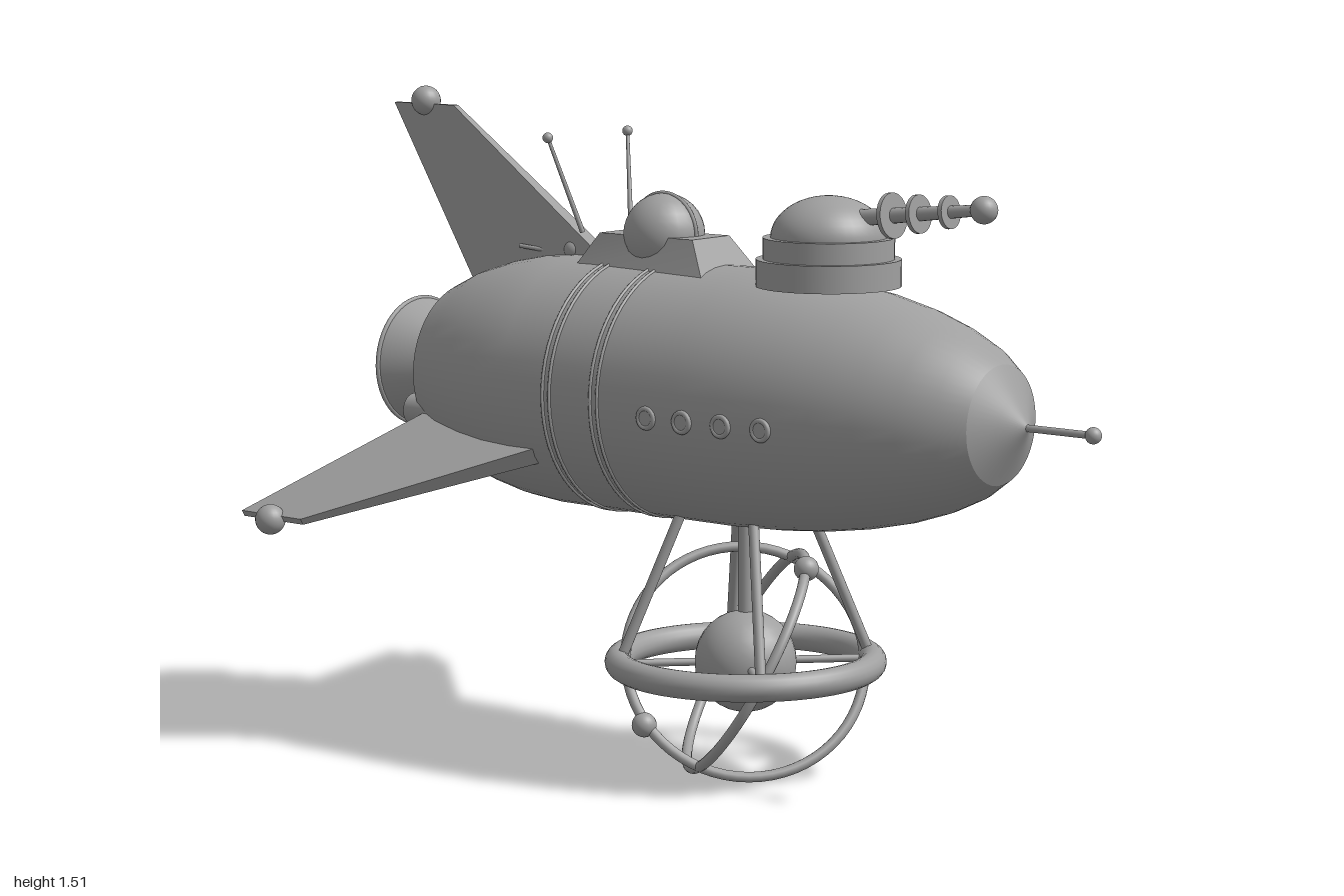
import * as THREE from 'three';

const V = (x, y, z) => new THREE.Vector3(x, y, z);

export function createModel() {
  const model = new THREE.Group();
  const grey = new THREE.MeshStandardMaterial({ color: 0xa0a0a0 });
  grey.name = 'grey metal';
  const greyOpen = new THREE.MeshStandardMaterial({ color: 0xa0a0a0, side: THREE.DoubleSide });
  greyOpen.name = 'grey metal';

  const add = (name, geometry, x = 0, y = 0, z = 0, material = grey) => {
    const mesh = new THREE.Mesh(geometry, material);
    mesh.name = name;
    mesh.position.set(x, y, z);
    model.add(mesh);
    return mesh;
  };
  const ball = (name, p, r) => add(name, new THREE.SphereGeometry(r, 24, 16), p.x, p.y, p.z);
  // Cylinder between two points
  const rod = (name, a, b, r0, r1 = r0) => {
    const d = b.clone().sub(a);
    const mesh = add(name, new THREE.CylinderGeometry(r1, r0, d.length(), 16));
    mesh.position.copy(a).addScaledVector(d, 0.5);
    mesh.quaternion.setFromUnitVectors(V(0, 1, 0), d.normalize());
    return mesh;
  };
  // Turned shape along z, from [radius, z] pairs going forward
  const turned = (name, profile, y, x = 0, material = grey) =>
    add(name, new THREE.LatheGeometry(profile.map(p => new THREE.Vector2(...p)), 48).rotateX(Math.PI / 2), x, y, 0, material);

  const axisY = 0.865;

  // Hull
  turned('hull', [[0.2, -0.77], [0.237, -0.69], [0.264, -0.6], [0.282, -0.51], [0.29, -0.42], [0.291, -0.2],
    [0.291, 0.08], [0.286, 0.2], [0.275, 0.32], [0.258, 0.43], [0.235, 0.53], [0.205, 0.62], [0.17, 0.695], [0.13, 0.75]], axisY);
  turned('noseCone', [[0.13, 0.75], [0.065, 0.785], [0, 0.822]], axisY);
  turned('hullBack', [[0, -0.77], [0.2, -0.77]], axisY, 0, greyOpen);
  rod('noseProbe', V(0, axisY, 0.79), V(0, axisY, 0.98), 0.008);
  ball('noseProbeTip', V(0, axisY, 0.982), 0.018);
  for (const z of [-0.13, -0.15, -0.27, -0.29])
    add('hullBand', new THREE.TorusGeometry(0.291, 0.004, 8, 64), 0, axisY, z);

  // Portholes
  for (const side of [-1, 1])
    for (const z of [0.315, 0.213, 0.11, 0.01]) {
      const x = side * (z > 0.3 ? 0.275 : z > 0.2 ? 0.284 : 0.29);
      add('portholeFrame', new THREE.TorusGeometry(0.021, 0.006, 10, 24).rotateY(Math.PI / 2), x, 0.845, z);
      add('portholeGlass', new THREE.CylinderGeometry(0.02, 0.02, 0.008, 24).rotateZ(Math.PI / 2), x, 0.845, z);
    }

  // Engine nozzle and small thrusters
  turned('nozzle', [[0.152, -0.93], [0.122, -0.86], [0.098, -0.81], [0.084, -0.76]], axisY, 0, greyOpen);
  add('nozzleRim', new THREE.TorusGeometry(0.15, 0.006, 10, 48), 0, axisY, -0.93);
  turned('nozzleInside', [[0, -0.915], [0.144, -0.915]], axisY, 0, greyOpen);
  for (const side of [-1, 1])
    add('thruster', new THREE.CylinderGeometry(0.038, 0.047, 0.12, 24).rotateX(-Math.PI / 2), side * 0.155, 0.775, -0.75);

  // Three fins, thinning toward the tip
  const finShape = new THREE.Shape([[-0.22, 0.2], [-0.81, 0.615], [-1, 0.615], [-0.7, 0.15]].map(p => new THREE.Vector2(...p)));
  for (let i = 0; i < 3; i++) {
    const g = new THREE.ExtrudeGeometry(finShape, { depth: 2, bevelEnabled: false });
    const pos = g.attributes.position;
    for (let k = 0; k < pos.count; k++) {
      const z = pos.getX(k), r = pos.getY(k), s = pos.getZ(k) - 1;
      pos.setXYZ(k, -s * (r > 0.5 ? 0.008 : 0.024), r, z);
    }
    g.computeVertexNormals();
    const fin = add('fin', g, 0, axisY, 0);
    fin.rotation.z = i * Math.PI * 2 / 3;
    ball('finTip', V(0, 0.622, -0.905).applyAxisAngle(V(0, 0, 1), fin.rotation.z).add(V(0, axisY, 0)), 0.035);
  }

  // Turret and ringed gun
  add('turretBase', new THREE.CylinderGeometry(0.16, 0.16, 0.06, 40), 0, 1.16, 0.29);
  add('turretCollar', new THREE.CylinderGeometry(0.145, 0.145, 0.05, 40), 0, 1.212, 0.29);
  add('turretDome', new THREE.SphereGeometry(0.128, 40, 12, 0, Math.PI * 2, 0, Math.PI / 2).scale(1, 0.72, 1), 0, 1.236, 0.29);
  const gunA = V(0, 1.283, 0.36), gunB = V(0, 1.32, 0.7);
  const gun = rod('gunBarrel', gunA, gunB, 0.019, 0.012);
  ball('gunTip', gunB, 0.03);
  [[0.46, 0.05], [0.53, 0.042], [0.61, 0.036]].forEach(([z, r]) => {
    const ring = add('gunRing', new THREE.CylinderGeometry(r, r, 0.01, 32));
    ring.position.lerpVectors(gunA, gunB, (z - 0.36) / 0.34);
    ring.quaternion.copy(gun.quaternion);
  });

  // Cockpit: tapered plinth, dome and hoop
  const plinth = new THREE.BoxGeometry(2, 2, 2);
  const pp = plinth.attributes.position;
  for (let k = 0; k < pp.count; k++) {
    const top = pp.getY(k) > 0, front = pp.getZ(k) > 0;
    pp.setXYZ(k, pp.getX(k) * (top ? 0.066 : front ? 0.105 : 0.085), top ? 1.215 : 1.13,
      front ? (top ? -0.04 : 0.018) : (top ? -0.31 : -0.375));
  }
  plinth.computeVertexNormals();
  add('cockpitPlinth', plinth);
  ball('cockpitDome', V(0, 1.215, -0.175), 0.093);
  add('cockpitHoop', new THREE.TorusGeometry(0.093, 0.005, 8, 32, Math.PI).rotateY(Math.PI / 2), 0, 1.215, -0.175);

  for (const side of [-1, 1]) {
    // Antennas and whiskers
    const tip = V(side * 0.14, 1.43, -0.4);
    rod('antenna', V(side * 0.085, 1.215, -0.345), tip, 0.006, 0.004);
    ball('antennaTip', tip, 0.012);
    rod('tailWhisker', V(side * 0.01, 1.155, -0.5), V(side * 0.03, 1.165, -0.585), 0.005);
  }
  ball('tailBeacon', V(0, 1.163, -0.44), 0.027);

  // Hanging gyroscope
  const c = V(0, 0.262, 0.06);
  const rel = (x, y, z) => V(x, y, z).add(c);
  ball('gyroCore', c, 0.116);
  rod('gyroColumn', c, rel(0, 0.35, 0), 0.017);
  add('gyroRing', new THREE.TorusGeometry(0.288, 0.031, 16, 64).rotateX(Math.PI / 2), c.x, c.y, c.z);
  for (const s of [-1, 1]) {
    const orbit = add('orbitRing', new THREE.TorusGeometry(0.272, 0.012, 12, 64), c.x, c.y, c.z);
    orbit.quaternion.setFromUnitVectors(V(0, 0, 1), V(0.62, -0.483, s * 0.62).normalize());
    for (const t of [-1, 1]) {
      rod('gyroStrut', rel(s * 0.2, 0.01, t * 0.2), rel(s * 0.095, 0.37, t * 0.095), 0.012);
      rod('gyroSpoke', c, rel(s * 0.2, 0, t * 0.2), 0.009);
    }
  }
  ball('orbitBall', rel(0.015, 0.228, 0.16), 0.028);
  ball('orbitBall', rel(-0.215, -0.127, -0.12), 0.028);

  return model;
}
